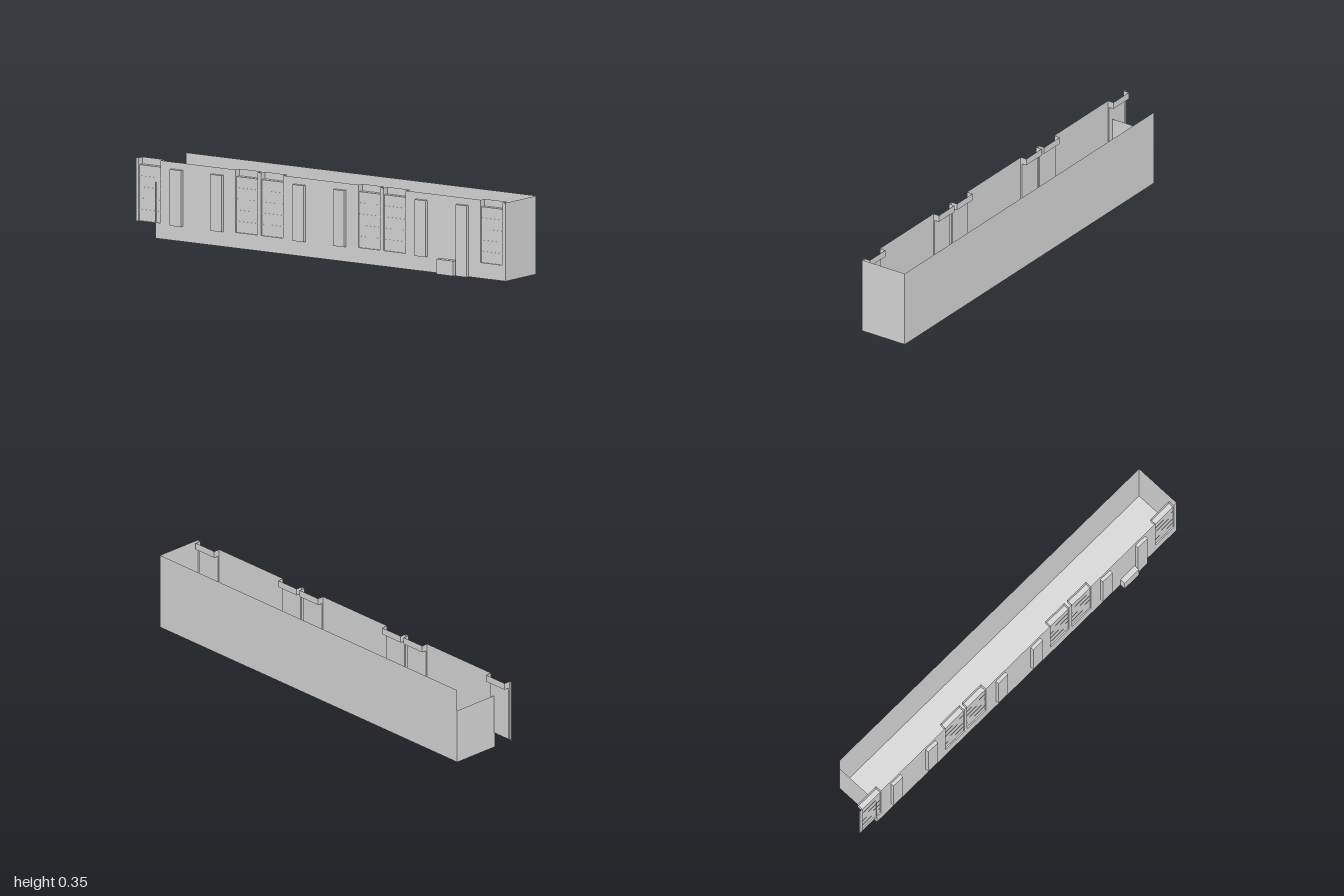
import * as THREE from 'three';

export function createModel() {
  const model = new THREE.Group();
  const grey = new THREE.MeshStandardMaterial({ color: 0xd9d9d9, side: THREE.DoubleSide });
  grey.name = 'plain grey';

  const H = 0.349, SILL = 0.07, LEDGE = 0.318;
  const WALL = -0.102, DOOR = -0.096, NICHE = -0.072, FAR = 0.127;
  const BACK = -0.893, FRONT = 1;

  const add = (name, geometry, parent = model) => {
    const mesh = new THREE.Mesh(geometry, grey);
    mesh.name = name;
    parent.add(mesh);
  };
  // Solid block or, when one extent is zero, a single sheet between two corners
  const block = (name, x0, x1, y0, y1, z0, z1, parent) => {
    const sx = x1 - x0, sy = y1 - y0, sz = z1 - z0;
    let g;
    if (sx === 0) g = new THREE.PlaneGeometry(sz, sy).rotateY(-Math.PI / 2);
    else if (sy === 0) g = new THREE.PlaneGeometry(sx, sz).rotateX(-Math.PI / 2);
    else if (sz === 0) g = new THREE.PlaneGeometry(sx, sy);
    else g = new THREE.BoxGeometry(sx, sy, sz);
    g.translate((x0 + x1) / 2, (y0 + y1) / 2, (z0 + z1) / 2);
    add(name, g, parent);
  };

  // Open-topped shell
  block('floor', WALL, FAR, 0, 0, BACK, FRONT);
  block('plainSideWall', FAR, FAR, 0, H, BACK, FRONT);
  block('frontWall', WALL, FAR, 0, H, FRONT, FRONT);
  block('lowBackWall', WALL, FAR, 0, 0.25, BACK, BACK);

  // Detailed side wall, notched from the top at every door bay
  const bays = [[-0.985, -0.867], [-0.46, -0.341], [-0.323, -0.205],
    [0.203, 0.321], [0.34, 0.458], [0.865, 0.983]];
  const wall = new THREE.Shape();
  wall.moveTo(BACK, 0);
  wall.lineTo(FRONT, 0);
  wall.lineTo(FRONT, H);
  for (const [a, b] of [...bays].reverse()) {
    wall.lineTo(b, H);
    wall.lineTo(b, SILL);
    wall.lineTo(a, SILL);
    wall.lineTo(a, H);
  }
  wall.lineTo(-1, H);
  wall.lineTo(-1, 0.067);
  wall.lineTo(BACK, 0.067);
  add('bayWall', new THREE.ShapeGeometry(wall).rotateY(-Math.PI / 2).translate(WALL, 0, 0));
  block('endPostReturn', WALL, DOOR, 0.067, H, -1, -1);

  // Recessed doors with a ledge and a deeper open niche above
  bays.forEach(([a, b]) => {
    const bay = new THREE.Group();
    bay.name = 'doorBay';
    model.add(bay);
    block('doorPanel', DOOR, DOOR, SILL, LEDGE, a, b, bay);
    block('doorSill', WALL, DOOR, SILL, SILL, a, b, bay);
    block('nicheLedge', DOOR, NICHE, LEDGE, LEDGE, a, b, bay);
    block('nicheBack', NICHE, NICHE, LEDGE, H, a, b, bay);
    for (const z of [a, b]) {
      block('doorJamb', WALL, DOOR, SILL, H, z, z, bay);
      block('nicheCheek', DOOR, NICHE, LEDGE, H, z, z, bay);
    }
    // Slim seams between the door sections
    for (let i = 1; i < 5; i++) {
      const y = SILL + (i * (LEDGE - SILL)) / 5;
      block('doorSeam', DOOR - 0.001, DOOR, y - 0.001, y + 0.001, a, b, bay);
    }
  });

  // Pilasters standing proud of the wall; the one by the entrance reaches the ground
  for (const z of [-0.775, -0.555, -0.112, 0.108, 0.548, 0.77]) {
    block('pilaster', -0.118, WALL, z === 0.77 ? 0 : 0.067, LEDGE, z - 0.03, z + 0.03);
  }

  // Entrance block
  block('entranceBlock', -0.128, -0.088, 0, 0.067, 0.645, 0.735);

  return model;
}
